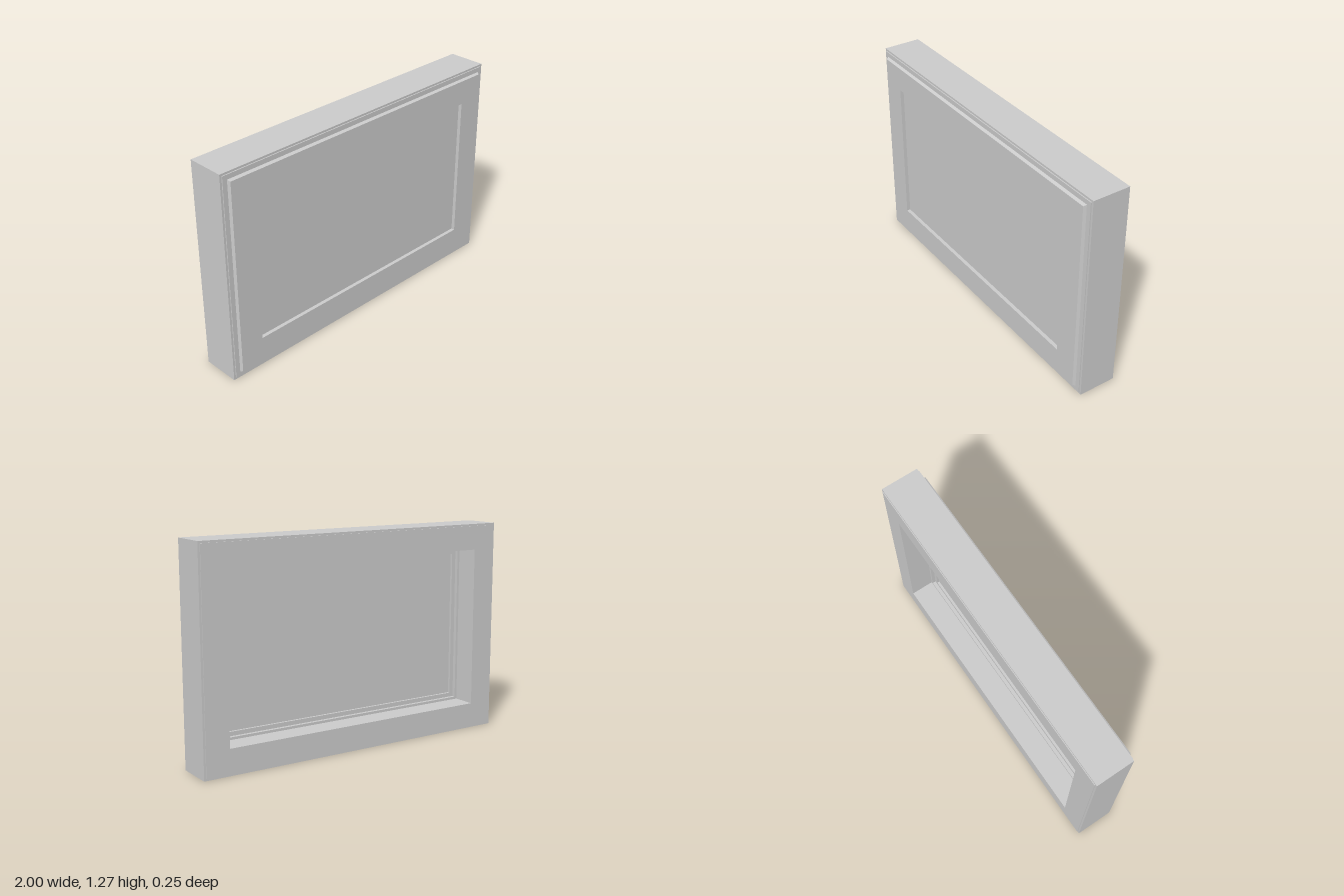
import * as THREE from 'three';

const HALF_W = 1, HALF_H = 0.636;
const CORNERS = [[1, 1], [-1, 1], [-1, -1], [1, -1]];

// Sweeps a closed profile of [inset, z] points around the rectangle, with mitred corners
function mitredFrame(profile) {
  const positions = [];
  const point = ([sx, sy], [inset, z]) => [sx * (HALF_W - inset), HALF_H + sy * (HALF_H - inset), z];
  profile.forEach((p, i) => {
    const q = profile[(i + 1) % profile.length];
    CORNERS.forEach((c, k) => {
      const d = CORNERS[(k + 1) % 4];
      const a = point(c, p), b = point(d, p), e = point(d, q), f = point(c, q);
      positions.push(...a, ...b, ...e, ...a, ...e, ...f);
    });
  });
  const geometry = new THREE.BufferGeometry();
  geometry.setAttribute('position', new THREE.Float32BufferAttribute(positions, 3));
  geometry.computeVertexNormals();
  return geometry;
}

export function createModel() {
  const group = new THREE.Group();
  const material = new THREE.MeshStandardMaterial({ color: 0xcccccc, flatShading: true });
  const add = (name, geometry) => {
    const mesh = new THREE.Mesh(geometry, material);
    mesh.name = name;
    group.add(mesh);
    return mesh;
  };

  // Deep frame: outer wall, stepped lip, raised tapered border, rebated back opening
  add('frame', mitredFrame([
    [0, -0.122], [0, 0.105],
    [0.012, 0.105], [0.012, 0.111],
    [0.04, 0.111], [0.048, 0.127],
    [0.195, 0.127], [0.195, 0.035],
    [0.17, 0.035], [0.17, 0.014],
    [0.155, 0.014], [0.155, -0.127],
    [0.012, -0.127], [0.012, -0.122],
  ]));

  // Panel filling the window, set slightly behind the border
  const inset = 0.195, back = 0.05, front = 0.105;
  const panel = add('panel', new THREE.BoxGeometry(2 * (HALF_W - inset), 2 * (HALF_H - inset), front - back));
  panel.position.set(0, HALF_H, (front + back) / 2);

  return group;
}
